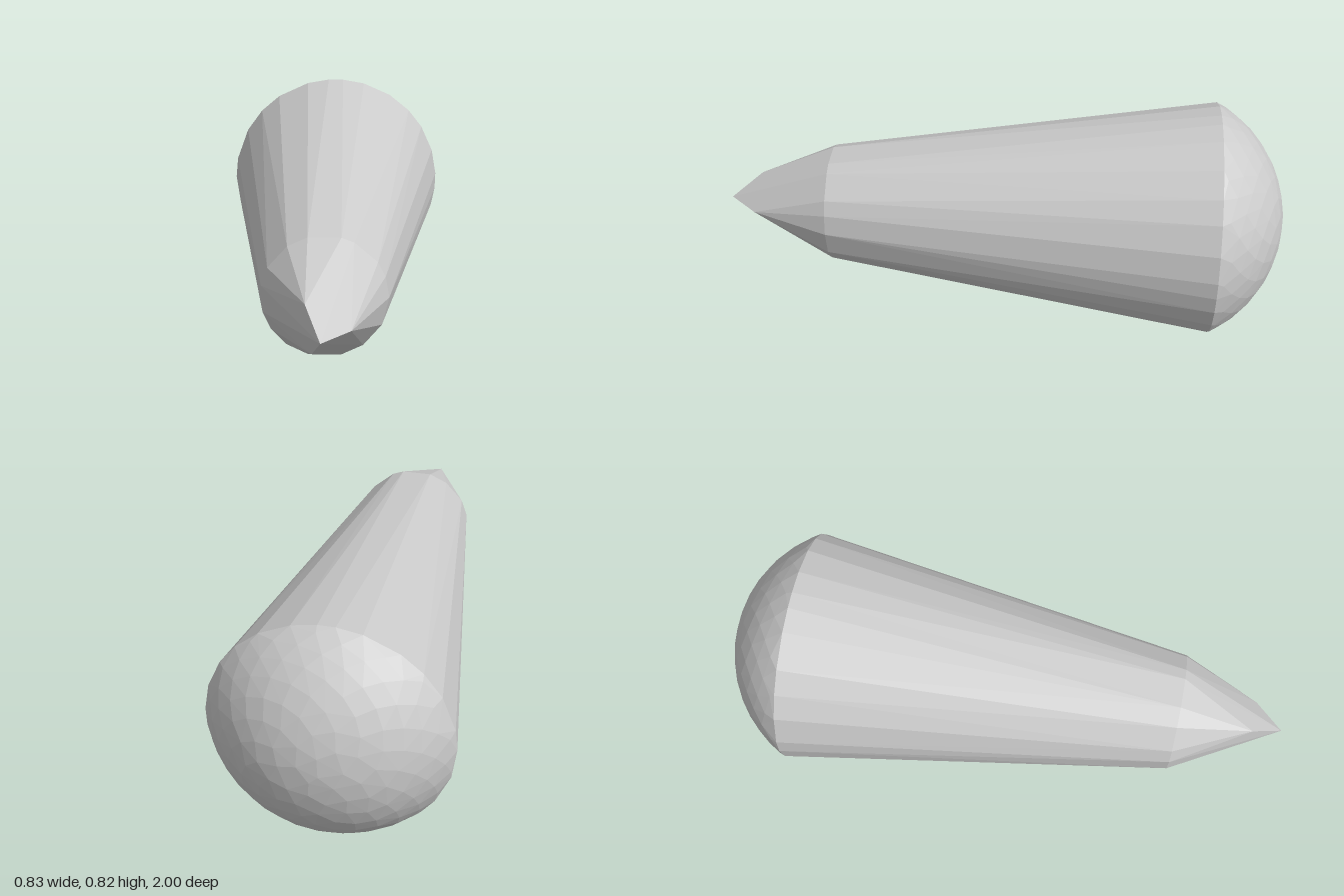
import * as THREE from 'three';
import { ConvexGeometry } from 'three/addons/geometries/ConvexGeometry.js';

const BACK = -0.75, FRONT = 0.62, AXIS_Y = 0.412;
const R_BACK = 0.414, R_FRONT = 0.207;

// uneven facet corners, in degrees around the long axis
const BACK_ANGLES = [3, 17, 32, 44, 58, 74, 86, 94, 106, 124, 137, 151, 169, 180,
  196, 213, 223, 241, 254, 263, 277, 288, 305, 319, 331, 344, 354];
const FRONT_ANGLES = [0, 20, 35, 63, 75, 105, 125, 152, 170, 195, 213, 233, 255, 285, 307, 333];

function ring(angles, radius, z) {
  return angles.map((deg) => {
    const a = THREE.MathUtils.degToRad(deg);
    return new THREE.Vector3(radius * Math.cos(a), radius * Math.sin(a), z);
  });
}

// faceted convex skin, left open where it meets its neighbours at the seam planes
function openHull(points, seams) {
  const p = new ConvexGeometry(points).getAttribute('position');
  const kept = [];
  for (let i = 0; i < p.count; i += 3) {
    const onSeam = seams.some((z) => [0, 1, 2].every((k) => Math.abs(p.getZ(i + k) - z) < 1e-4));
    if (onSeam) continue;
    for (let k = 0; k < 3; k++) kept.push(p.getX(i + k), p.getY(i + k), p.getZ(i + k));
  }
  const geometry = new THREE.BufferGeometry();
  geometry.setAttribute('position', new THREE.Float32BufferAttribute(kept, 3));
  geometry.computeVertexNormals();
  return geometry;
}

export function createModel() {
  const model = new THREE.Group();
  model.name = 'taperedSpike';
  const material = new THREE.MeshStandardMaterial({ color: 0xcccccc, flatShading: true });
  const add = (name, points, seams) => {
    const mesh = new THREE.Mesh(openHull(points, seams), material);
    mesh.name = name;
    mesh.position.y = AXIS_Y;
    model.add(mesh);
  };

  const backRing = ring(BACK_ANGLES, R_BACK, BACK);
  const frontRing = ring(FRONT_ANGLES, R_FRONT, FRONT);

  // tapered shaft
  add('shaft', [...backRing, ...frontRing], [BACK, FRONT]);

  // pointed tip, pinched to three corners before the apex
  add('tip', [
    ...frontRing,
    new THREE.Vector3(-0.05, 0.08, 0.89),
    new THREE.Vector3(0.09, 0, 0.9),
    new THREE.Vector3(-0.03, -0.077, 0.9),
    new THREE.Vector3(0, 0, 1),
  ], [FRONT]);

  // shallow spherical dome with scattered facets
  const height = 1 + BACK;
  const radius = (R_BACK ** 2 + height ** 2) / (2 * height);
  const dome = [...backRing];
  const count = 150;
  for (let i = 0; i < count; i++) {
    const depth = height * (i / count) * 0.96;
    const r = Math.sqrt(depth * (2 * radius - depth));
    const a = i * Math.PI * (3 - Math.sqrt(5));
    dome.push(new THREE.Vector3(r * Math.cos(a), r * Math.sin(a), -1 + depth));
  }
  add('dome', dome, [BACK]);

  return model;
}
